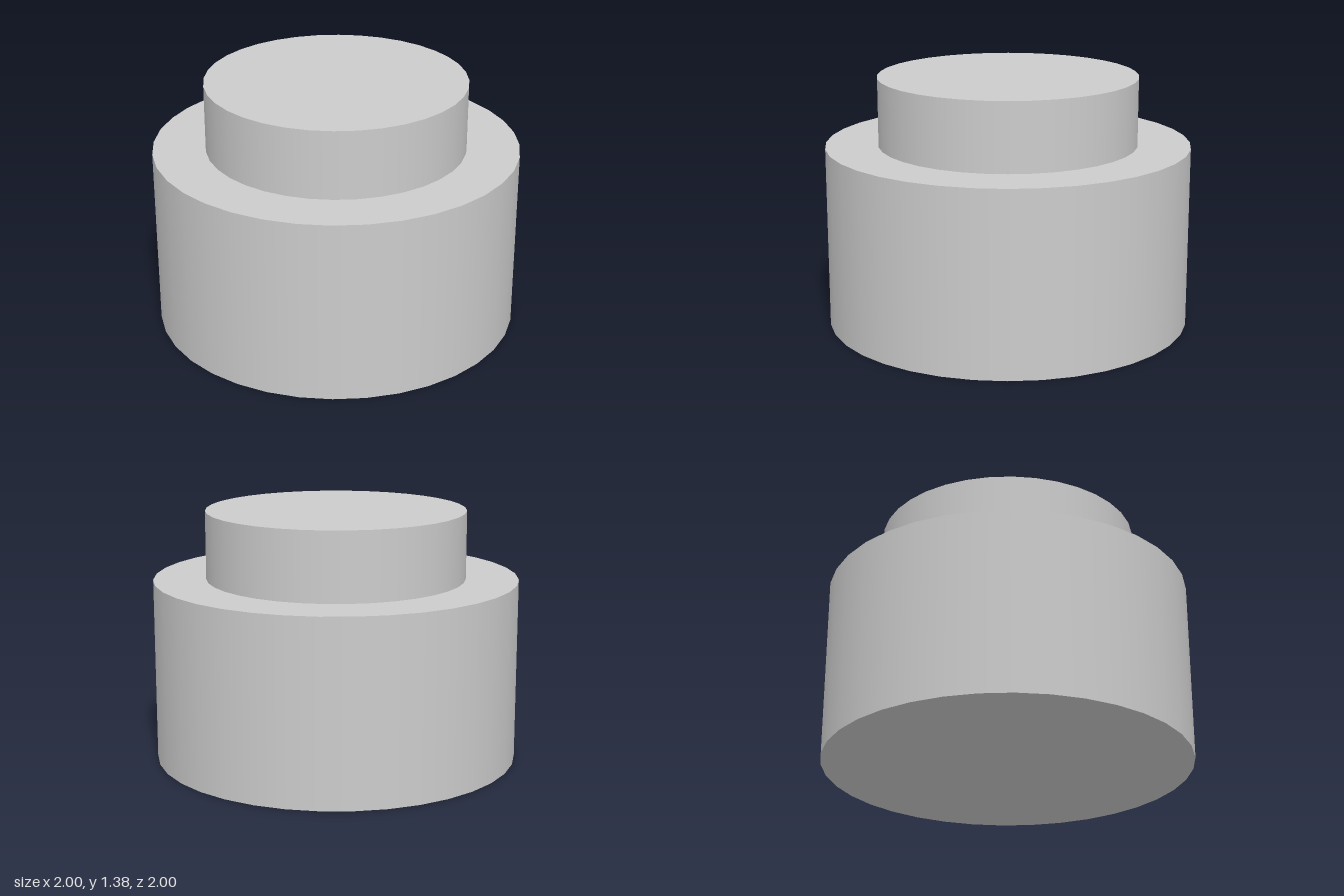
import * as THREE from 'three';

const SIDES = 36;

export function createModel() {
  const model = new THREE.Group();
  model.name = 'steppedCylinder';
  const material = new THREE.MeshStandardMaterial({ color: 0xcccccc });

  // Upright capped cylinder standing on the given height
  const addDrum = (name, radius, bottom, height) => {
    const geometry = new THREE.CylinderGeometry(radius, radius, height, SIDES);
    const mesh = new THREE.Mesh(geometry, material);
    mesh.name = name;
    mesh.position.y = bottom + height / 2;
    model.add(mesh);
  };

  // Wide base with a narrower boss on top
  addDrum('base', 1, 0, 1);
  addDrum('topBoss', 0.712, 1, 0.375);

  return model;
}
